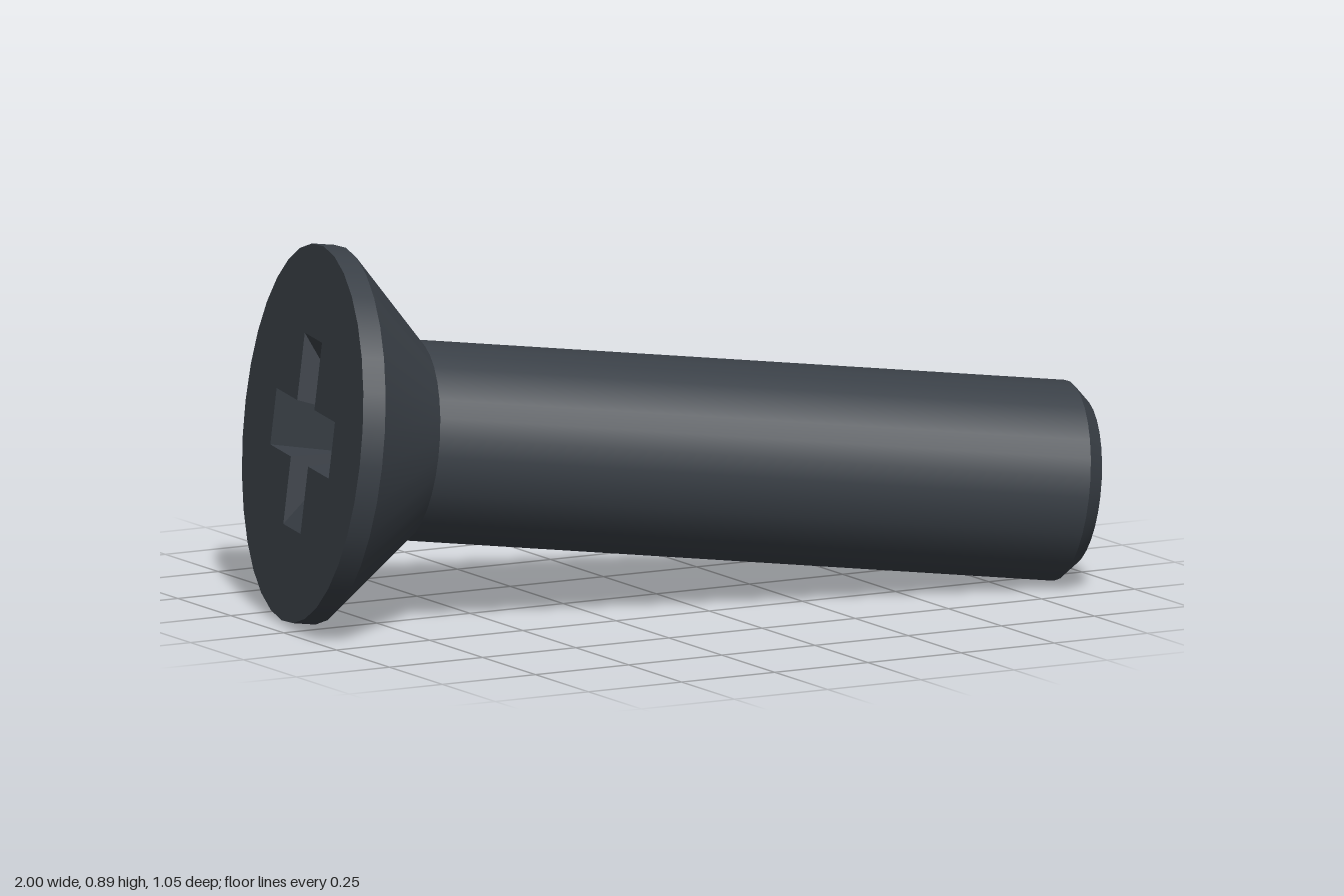
import * as THREE from 'three';

const SEG = 32;
const HEAD_R = 0.444, SHAFT_R = 0.235, TIP_R = 0.198;
const LENGTH = 1.902;

export function createModel() {
  const model = new THREE.Group();
  model.name = 'countersunkScrew';
  const steel = new THREE.MeshStandardMaterial({ color: 0x3a4047 });
  steel.name = 'darkSteel';

  const screw = new THREE.Group();
  screw.name = 'screw';
  model.add(screw);

  const add = (name, geometry) => {
    const mesh = new THREE.Mesh(geometry, steel);
    mesh.name = name;
    screw.add(mesh);
  };

  // Turned sections along the local y axis: name, start radius, start y, end radius, end y
  const sections = [
    ['headRim', HEAD_R, 0, HEAD_R, 0.055],
    ['headCone', HEAD_R, 0.055, SHAFT_R, 0.26],
    ['shaft', SHAFT_R, 0.26, SHAFT_R, LENGTH - 0.04],
    ['tipChamfer', SHAFT_R, LENGTH - 0.04, TIP_R, LENGTH],
    ['tipFace', TIP_R, LENGTH, 0, LENGTH],
  ];
  for (const [name, r0, y0, r1, y1] of sections) {
    add(name, new THREE.LatheGeometry([new THREE.Vector2(r0, y0), new THREE.Vector2(r1, y1)], SEG));
  }

  // Cross recess: sloping arms run down to a small square floor
  const L = 0.227, a = 0.067, f = 0.045, D = 0.13;
  const outline = [];
  const positions = [];
  for (let i = 0; i < 4; i++) {
    const c = [1, 0, -1, 0][i], s = [0, 1, 0, -1][i];
    const turn = (x, y, z) => [x * c - y * s, x * s + y * c, z];
    const A = turn(L, -a, 0), B = turn(L, a, 0);
    const P = turn(a, -a, 0), Q = turn(a, a, 0);
    const F = turn(f, -f, -D), G = turn(f, f, -D);
    outline.push(...[A, B, Q].map(p => new THREE.Vector2(p[0], p[1])));
    for (const p of [F, A, B, F, B, G, B, Q, G, A, F, P, [0, 0, -D], F, G]) positions.push(...p);
  }
  const recess = new THREE.BufferGeometry();
  recess.setAttribute('position', new THREE.Float32BufferAttribute(positions, 3));
  recess.computeVertexNormals();
  add('driveRecess', recess.rotateX(Math.PI / 2));

  // Flat head face with the cross cut out
  const rim = Array.from({ length: SEG }, (_, i) => {
    const t = (i / SEG) * Math.PI * 2;
    return new THREE.Vector2(HEAD_R * Math.cos(t), HEAD_R * Math.sin(t));
  });
  const face = new THREE.Shape(rim);
  face.holes.push(new THREE.Path(outline));
  add('headFace', new THREE.ShapeGeometry(face).rotateX(Math.PI / 2));

  // Lay the screw down, resting on its head rim and tip
  const axis = new THREE.Vector3(0.971, -0.1157, 0.209).normalize();
  const up = new THREE.Vector3(0, 1, 0).addScaledVector(axis, -axis.y).normalize();
  const side = new THREE.Vector3().crossVectors(up, axis);
  screw.quaternion.setFromRotationMatrix(new THREE.Matrix4().makeBasis(up, axis, side));
  screw.position.set(-0.896, 0.449, -0.0935);

  return model;
}
